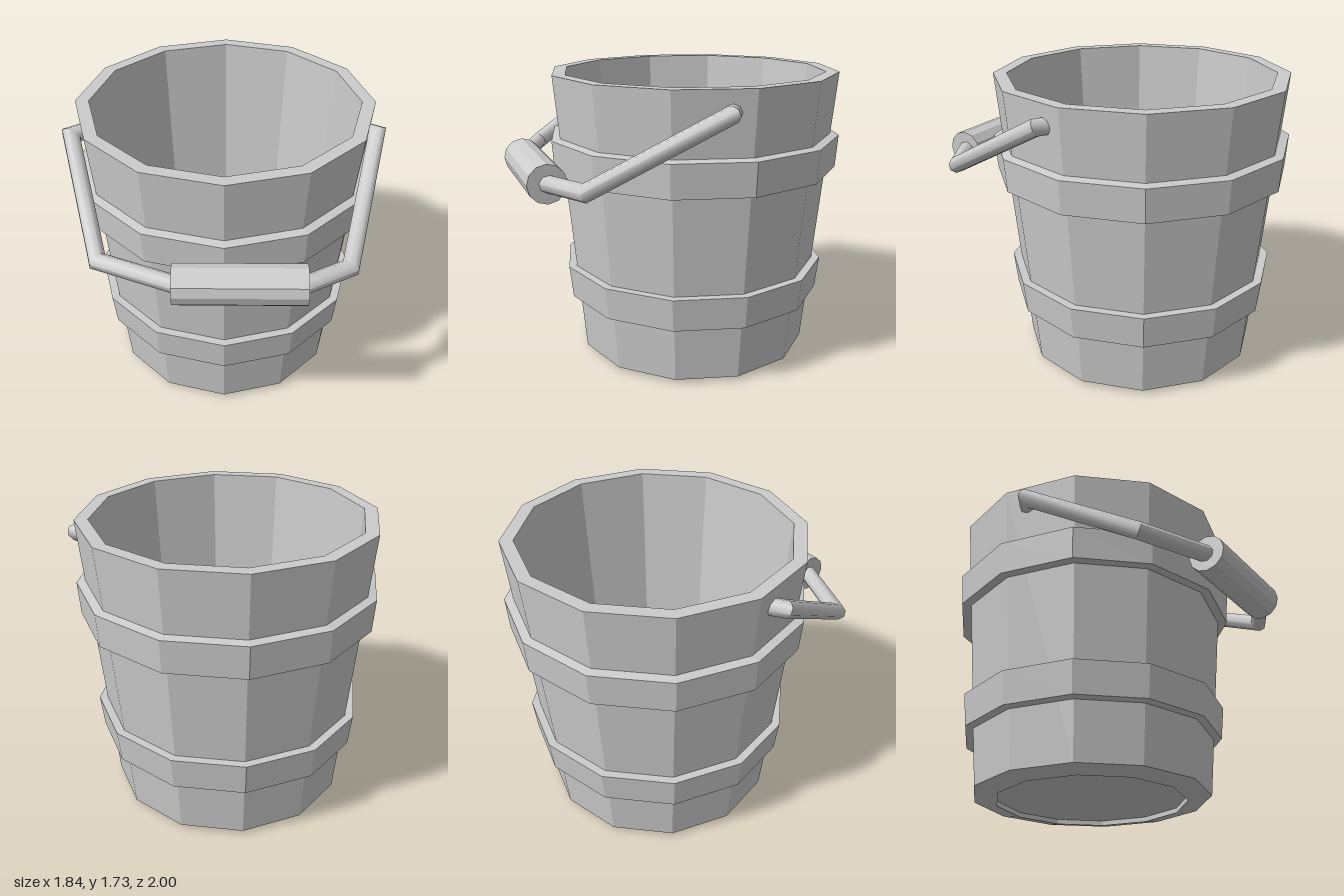
import * as THREE from 'three';
import { toCreasedNormals } from 'three/addons/utils/BufferGeometryUtils.js';

const SIDES = 12;
const CENTRE_X = 0.005, CENTRE_Z = -0.115;

const flat = new THREE.MeshStandardMaterial({ color: 0xcccccc, flatShading: true });
const smooth = new THREE.MeshStandardMaterial({ color: 0xcccccc });

// Twelve-sided turned part from a [radius, height] profile, running bottom to top on the outside
function turned(name, profile) {
  const points = profile.map(([r, y]) => new THREE.Vector2(r, y));
  const mesh = new THREE.Mesh(new THREE.LatheGeometry(points, SIDES), flat);
  mesh.position.set(CENTRE_X, 0, CENTRE_Z);
  mesh.name = name;
  return mesh;
}

// Round rod along straight segments with mitred corners and closed ends
function mitredRod(path, radius, sides) {
  const dirs = path.slice(1).map((p, i) => p.clone().sub(path[i]).normalize());
  const u = new THREE.Vector3(0, 1, 0).cross(dirs[0]).normalize();
  const v = dirs[0].clone().cross(u);
  let ring = [];
  for (let k = 0; k < sides; k++) {
    const a = (k / sides) * Math.PI * 2;
    ring.push(path[0].clone().addScaledVector(u, radius * Math.cos(a)).addScaledVector(v, radius * Math.sin(a)));
  }
  const rings = [ring];
  dirs.forEach((d, i) => {
    // slide the ring along the segment onto the mitre plane of the next corner
    const normal = d.clone().add(dirs[i + 1] ?? d);
    ring = ring.map((p) => {
      const t = path[i + 1].clone().sub(p).dot(normal) / d.dot(normal);
      return p.clone().addScaledVector(d, t);
    });
    rings.push(ring);
  });
  const vertices = [...rings.flat(), path[0], path[path.length - 1]];
  const last = rings.length - 1, capA = vertices.length - 2, capB = capA + 1;
  const index = [];
  for (let k = 0; k < sides; k++) {
    const n = (k + 1) % sides;
    for (let i = 0; i < last; i++) {
      const a = i * sides + k, b = i * sides + n, c = a + sides, d = b + sides;
      index.push(a, b, d, a, d, c);
    }
    index.push(capA, n, k, capB, last * sides + k, last * sides + n);
  }
  const geometry = new THREE.BufferGeometry().setFromPoints(vertices);
  geometry.setIndex(index);
  return toCreasedNormals(geometry, 0.85);
}

export function createModel() {
  const bucket = new THREE.Group();
  bucket.name = 'bucket';

  // Tapered staves, with a recessed underside and a hollow inside
  bucket.add(turned('body', [
    [0, 0.03], [0.57, 0.03], [0.57, 0], [0.71, 0.025],
    [0.863, 1.725], [0.785, 1.725], [0.685, 0.4], [0, 0.4],
  ]));

  // Two bands round the staves
  bucket.add(turned('lowerHoop', [[0.73, 0.36], [0.787, 0.37], [0.808, 0.565], [0.74, 0.565]]));
  bucket.add(turned('upperHoop', [[0.79, 1.155], [0.868, 1.155], [0.881, 1.35], [0.82, 1.362]]));

  // Bent bail hanging forward from both sides
  const path = [
    [-0.78, 1.6, 0], [-0.865, 1.6, 0.06], [-0.665, 1.215, 0.71], [-0.26, 1.215, 0.885],
    [0.43, 1.215, 0.885], [0.67, 1.215, 0.75], [0.865, 1.6, 0.03], [0.78, 1.6, -0.02],
  ].map((p) => new THREE.Vector3(...p));
  const handle = new THREE.Mesh(mitredRod(path, 0.049, 8), smooth);
  handle.name = 'handle';
  bucket.add(handle);

  // Thick grip on the middle of the bail
  const grip = new THREE.Mesh(new THREE.CylinderGeometry(0.11, 0.11, 0.695, 12), flat);
  grip.rotation.z = Math.PI / 2;
  grip.position.set(0.087, 1.215, 0.89);
  grip.name = 'grip';
  bucket.add(grip);

  return bucket;
}
